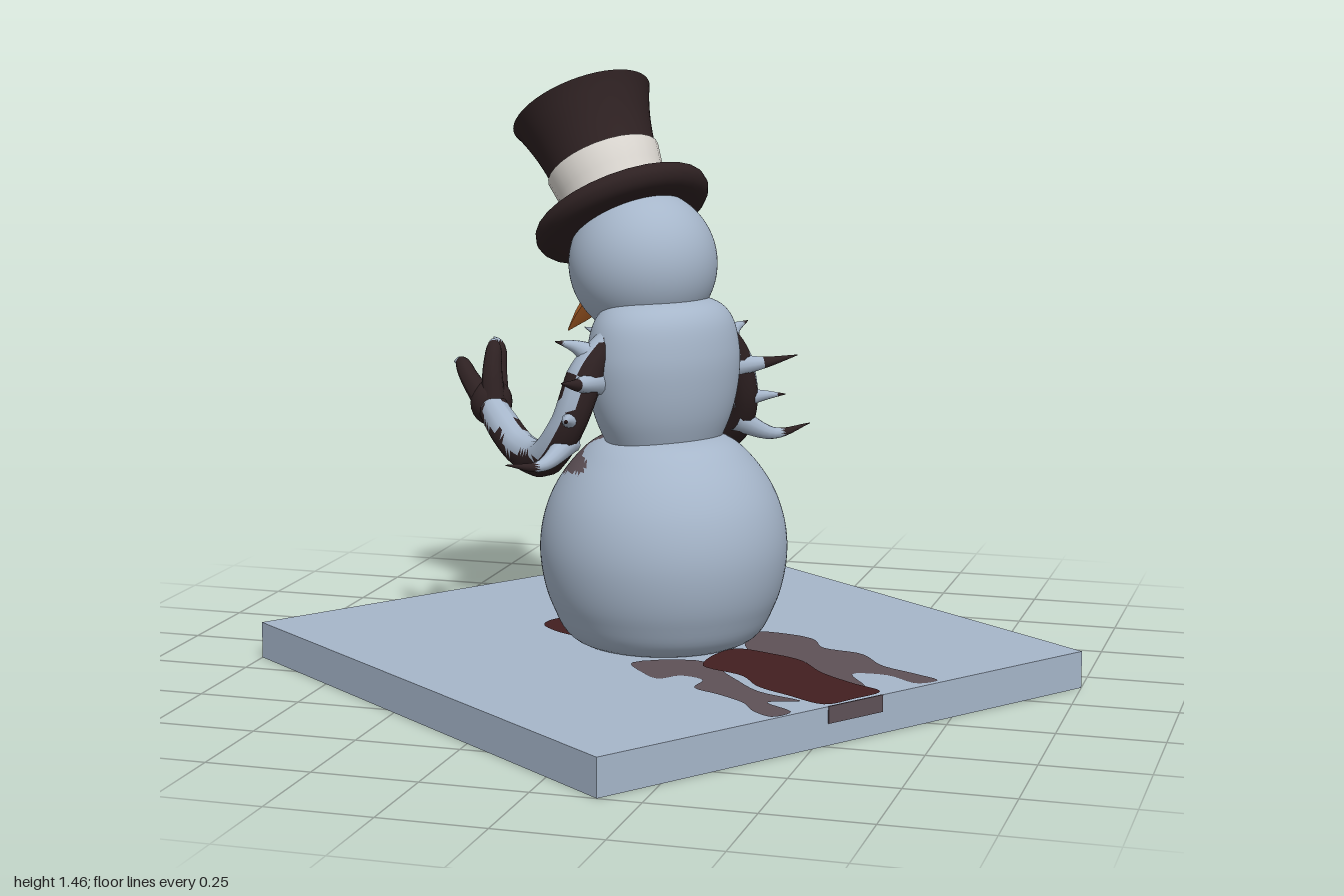
import * as THREE from 'three';

const mat = (name, color) => Object.assign(new THREE.MeshStandardMaterial({ color }), { name });
const V3 = (a) => new THREE.Vector3(...a);
const V2 = (a) => new THREE.Vector2(...a);

export function createModel() {
  const snow = mat('snow', 0xa6b6ca);
  const dark = mat('darkBrown', 0x2e2122);
  const blood = mat('darkRed', 0x421f20);
  const splash = mat('redGrey', 0x5e5157);
  const white = mat('bandWhite', 0xd8d4ce);
  const orange = mat('carrotOrange', 0xc8702f);
  const black = mat('coal', 0x171315);

  const root = new THREE.Group();
  root.name = 'snowman';
  // the figure looks along its own +z and is turned on its square plate
  const figure = new THREE.Group();
  figure.name = 'figure';
  figure.rotation.y = Math.atan2(-0.804, -0.594);
  root.add(figure);

  const add = (parent, name, geo, material) => {
    const m = new THREE.Mesh(geo, material);
    m.name = name;
    parent.add(m);
    return m;
  };

  // sorts triangles into material groups by a rule on centre and normal
  const paint = (geo, count, pick) => {
    const idx = geo.index.array, p = geo.attributes.position, n = geo.attributes.normal;
    const buckets = Array.from({ length: count }, () => []);
    const c = new THREE.Vector3(), d = new THREE.Vector3(), v = new THREE.Vector3();
    for (let i = 0; i < idx.length; i += 3) {
      c.set(0, 0, 0);
      d.set(0, 0, 0);
      for (let k = 0; k < 3; k++) {
        c.addScaledVector(v.fromBufferAttribute(p, idx[i + k]), 1 / 3);
        d.addScaledVector(v.fromBufferAttribute(n, idx[i + k]), 1 / 3);
      }
      buckets[pick(c, d)].push(idx[i], idx[i + 1], idx[i + 2]);
    }
    geo.setIndex(buckets.flat());
    geo.clearGroups();
    let start = 0;
    buckets.forEach((b, i) => {
      geo.addGroup(start, b.length, i);
      start += b.length;
    });
    return geo;
  };

  const turned = (pts, smooth = 40, seg = 96) => {
    const prof = smooth ? new THREE.SplineCurve(pts.map(V2)).getPoints(smooth) : pts.map(V2);
    prof.forEach((q) => { q.x = Math.max(q.x, 0); });
    return new THREE.LatheGeometry(prof, seg);
  };

  // tapered tube through points, with a radius for each point
  const limb = (pts, radii, n = 20, sides = 12) => {
    const curve = new THREE.CatmullRomCurve3(pts.map(V3));
    const geo = new THREE.TubeGeometry(curve, n, 1, sides);
    const p = geo.attributes.position, v = new THREE.Vector3();
    for (let i = 0; i < p.count; i++) {
      const t = Math.floor(i / (sides + 1)) / n;
      const f = t * (radii.length - 1), k = Math.min(Math.floor(f), radii.length - 2);
      const r = THREE.MathUtils.lerp(radii[k], radii[k + 1], f - k);
      const c = curve.getPointAt(t);
      v.fromBufferAttribute(p, i).sub(c).multiplyScalar(r).add(c);
      p.setXYZ(i, v.x, v.y, v.z);
    }
    geo.computeVertexNormals();
    return geo;
  };

  // plate
  add(figure, 'plate', new THREE.BoxGeometry(1.43, 0.09, 1.43), snow).position.y = 0.045;

  // stains lying on the plate, outlined as x, z
  const stain = (name, parent, pts, y, material) => {
    const shape = new THREE.Shape();
    const q = new THREE.CatmullRomCurve3(pts.map(([x, z]) => V3([x, -z, 0])), true).getPoints(70);
    shape.setFromPoints(q.map((a) => new THREE.Vector2(a.x, a.y)));
    const g = new THREE.ShapeGeometry(shape);
    g.rotateX(-Math.PI / 2);
    add(parent, name, g, material).position.y = y;
  };
  stain('splashRight', root, [[0.2, -0.1], [0.3, -0.1], [0.36, -0.07], [0.4, 0], [0.5, 0.03], [0.57, 0.12],
    [0.66, 0.17], [0.72, 0.21], [0.68, 0.25], [0.6, 0.2], [0.52, 0.21], [0.57, 0.31], [0.45, 0.26],
    [0.38, 0.13], [0.25, 0.1]], 0.092, splash);
  stain('splashLeft', root, [[0, 0.26], [0.05, 0.34], [0.1, 0.38], [0.14, 0.34], [0.2, 0.36], [0.2, 0.43],
    [0.27, 0.47], [0.34, 0.52], [0.38, 0.58], [0.43, 0.61], [0.46, 0.56], [0.39, 0.5], [0.46, 0.47],
    [0.35, 0.42], [0.26, 0.32], [0.15, 0.2]], 0.092, splash);
  stain('bloodTrail', root, [[0.2, 0.08], [0.3, 0.1], [0.38, 0.14], [0.45, 0.23], [0.54, 0.3], [0.615, 0.35],
    [0.57, 0.43], [0.52, 0.49], [0.42, 0.44], [0.34, 0.39], [0.28, 0.31], [0.17, 0.25]], 0.095, blood);
  stain('frontPool', figure, [[-0.16, 0.1], [-0.17, 0.24], [-0.12, 0.28], [0, 0.27], [0.13, 0.29],
    [0.18, 0.25], [0.16, 0.1]], 0.094, blood);
  add(figure, 'edgeDrip', new THREE.BoxGeometry(0.16, 0.04, 0.004), splash).position.set(0, 0.071, -0.716);

  // body balls with a stain running down the front
  const drip = (core, spread) => (c) => {
    if (c.z < 0.02) return 0;
    const x = Math.abs(c.x), s = c.x < 0 ? 1.3 : 0;
    if (x < core(c.y) + 0.012 * Math.sin(c.y * 45 + s)) return 1;
    return x < spread + 0.05 * Math.sin(c.y * 27 + s) + 0.025 * Math.sin(c.y * 63 + s) ? 2 : 0;
  };
  const stained = [snow, blood, splash];
  add(figure, 'lowerBall', paint(turned([[0, 0.088], [0.2, 0.09], [0.272, 0.18], [0.3, 0.31], [0.28, 0.43],
    [0.22, 0.53], [0.14, 0.59], [0, 0.6]], 60), 3, drip((y) => 0.06 + 0.15 * Math.max(0, 0.45 - y), 0.155)), stained);
  const chest = turned([[0.12, 0.56], [0.152, 0.64], [0.168, 0.72], [0.17, 0.8], [0.15, 0.88], [0.1, 0.92], [0, 0.93]]);
  chest.scale(1.17, 1, 0.9);
  add(figure, 'middleBall', paint(chest, 3, drip(() => 0.07, 0.11)), stained);

  // head, eyes and nose
  const head = new THREE.Group();
  head.name = 'head';
  head.position.set(0, 1, 0.083);
  figure.add(head);
  add(head, 'headBall', paint(new THREE.SphereGeometry(0.18, 80, 50), 2,
    (c) => (c.z > 0.03 && c.y < -0.06 + 0.015 * Math.sin(c.x * 70) && Math.abs(c.x) < 0.085 ? 1 : 0)), [snow, blood]);
  for (const s of [-1, 1]) {
    const eye = add(head, s > 0 ? 'leftEye' : 'rightEye', new THREE.SphereGeometry(0.028, 16, 12), black);
    eye.position.set(s * 0.072, -0.01, 0.158);
  }
  add(head, 'carrotNose', limb([[0, -0.07, 0.12], [0, -0.1, 0.18], [0, -0.15, 0.25], [0, -0.2, 0.315]],
    [0.034, 0.032, 0.02, 0.002], 12, 10), orange);

  // top hat, tipped forward
  const hat = new THREE.Group();
  hat.name = 'topHat';
  hat.position.set(0, 1.1, 0.158);
  hat.rotation.x = 0.6;
  figure.add(hat);
  add(hat, 'brim', turned([[0.02, -0.02], [0.13, -0.022], [0.195, -0.016], [0.22, 0.008], [0.216, 0.034],
    [0.2, 0.034], [0.17, 0.022], [0.12, 0.02]], 32, 28), dark);
  add(hat, 'crown', paint(turned([[0.128, 0.015], [0.13, 0.09], [0.135, 0.15], [0.147, 0.22], [0.164, 0.28], [0.178, 0.315]], 24, 64), 2,
    (c) => (c.z > 0 && Math.abs(c.x) < 0.07 + 0.025 * Math.sin(c.y * 50) ? 1 : 0)), [dark, blood]);
  add(hat, 'band', turned([[0.133, 0.03], [0.135, 0.1], [0.143, 0.155], [0.13, 0.157]], 0, 28), white);
  const lid = new THREE.RingGeometry(0.0005, 0.178, 64, 24);
  lid.rotateX(-Math.PI / 2);
  add(hat, 'crownTop', paint(lid, 2, (c) => (
    ((c.x - 0.01) / 0.105) ** 2 + ((c.z - 0.1) / 0.085) ** 2 < 1 + 0.15 * Math.sin(c.x * 60) ? 1 : 0)), [dark, snow])
    .position.y = 0.315;

  // mirrored arms with thorns and clawed hands
  for (const s of [-1, 1]) {
    const arm = new THREE.Group();
    arm.name = s > 0 ? 'leftArm' : 'rightArm';
    figure.add(arm);
    const flip = (pts) => pts.map(([x, y, z]) => [s * x, y, z]);
    const part = (name, pts, radii, pick, n) =>
      add(arm, name, paint(limb(flip(pts), radii, n), 2, pick), [dark, snow]);

    part('limb', [[0.16, 0.84, 0], [0.215, 0.77, 0.01], [0.262, 0.64, 0.03], [0.272, 0.55, 0.11], [0.262, 0.55, 0.22],
      [0.25, 0.6, 0.33], [0.235, 0.65, 0.41]], [0.03, 0.045, 0.042, 0.046, 0.042, 0.042, 0.035],
    (c, d) => (d.y + 0.35 * d.x * s + 0.25 * Math.sin(c.z * 45 + c.y * 30) > 0.5 ? 1 : 0), 48);
    const palm = add(arm, 'palm', new THREE.SphereGeometry(0.05, 16, 12), dark);
    palm.position.set(s * 0.232, 0.64, 0.4);
    palm.scale.set(1.1, 1.15, 0.9);

    // fingers: dark, with pale claws
    const fingers = [
      [[0.25, 0.64, 0.4], [0.262, 0.7, 0.455], [0.257, 0.73, 0.495], [0.25, 0.725, 0.54]],
      [[0.215, 0.64, 0.4], [0.18, 0.71, 0.45], [0.155, 0.765, 0.48], [0.14, 0.78, 0.525]],
      [[0.24, 0.65, 0.38], [0.232, 0.72, 0.395], [0.21, 0.775, 0.42], [0.185, 0.785, 0.465]],
      [[0.22, 0.61, 0.38], [0.205, 0.6, 0.43], [0.2, 0.595, 0.46], [0.2, 0.592, 0.505]],
    ];
    fingers.forEach((f, i) => {
      const tip = V3([s * f[3][0], f[3][1], f[3][2]]);
      part('finger' + (i + 1), f, [0.03, 0.025, 0.02, 0.001], (c) => (c.distanceTo(tip) < 0.05 ? 1 : 0), 16);
    });

    // thorns: pale, with dark tips
    const thorns = [
      [[0.2, 0.74, 0], [0.28, 0.745, -0.035], [0.355, 0.762, -0.075]],
      [[0.25, 0.6, 0.04], [0.35, 0.555, 0.01], [0.46, 0.57, 0]],
      [[0.2, 0.8, 0.01], [0.24, 0.825, 0.03], [0.29, 0.84, 0.04]],
      [[0.24, 0.65, 0.03], [0.3, 0.66, -0.02], [0.33, 0.665, -0.06]],
    ];
    thorns.forEach((t, i) => {
      const tip = V3([s * t[2][0], t[2][1], t[2][2]]);
      const darkEnd = i < 2 ? 0.09 : 0.02;
      part('thorn' + (i + 1), t, [0.032, 0.015, 0.001], (c) => (c.distanceTo(tip) < darkEnd ? 0 : 1), 14);
    });
  }
  return root;
}
